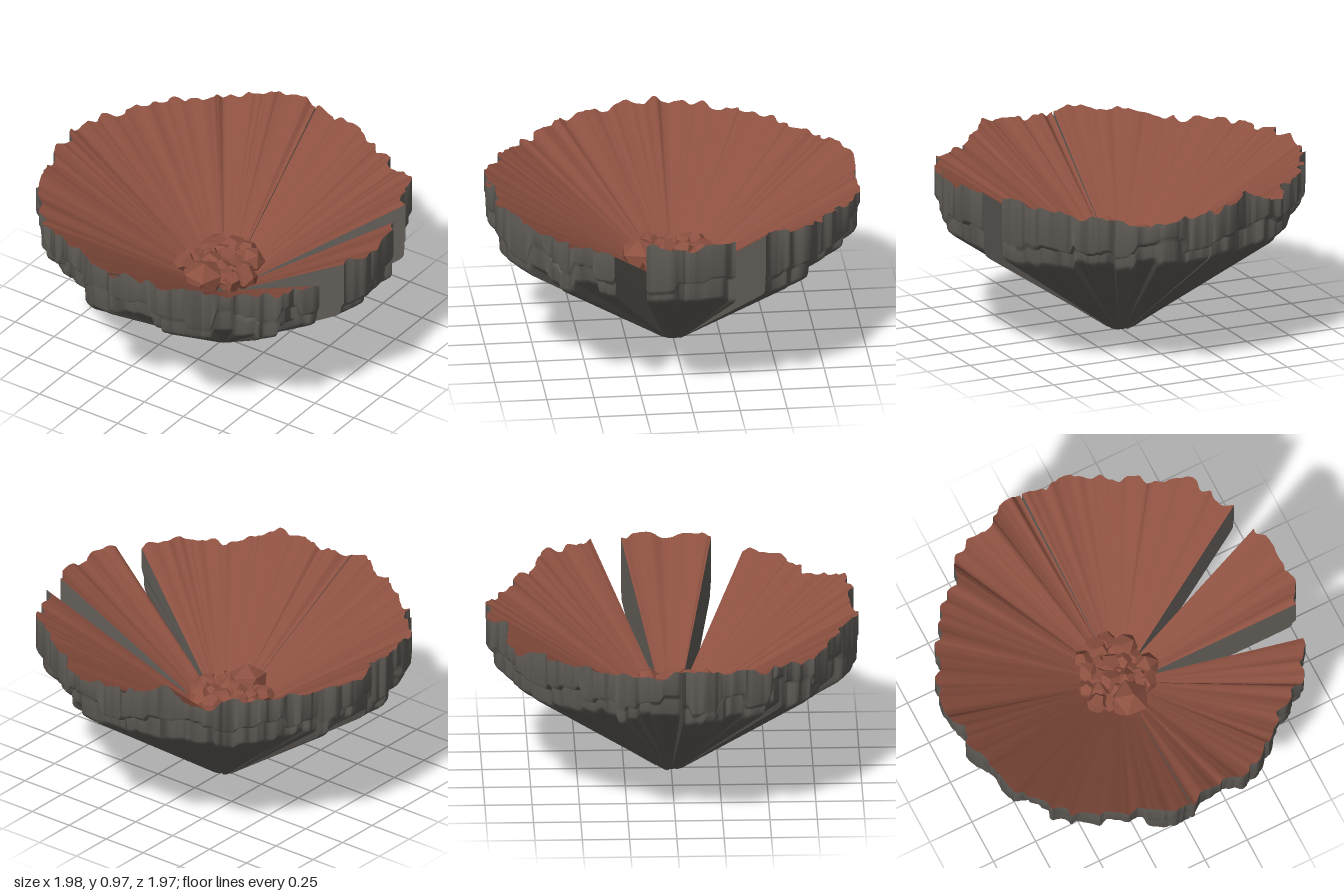
import * as THREE from 'three';
import { toCreasedNormals } from 'three/addons/utils/BufferGeometryUtils.js';

const DEG = Math.PI / 180;

// repeatable pseudo random value in 0..1 for an integer and a seed
function hash(n, seed) {
  const s = Math.sin(n * 127.1 + seed * 311.7) * 43758.5453;
  return s - Math.floor(s);
}

// ridged noise along the angle, -1..1; a sharp value gives flat steps
function noise(a, width, seed, sharp = 1) {
  const u = a / width, i = Math.floor(u);
  let f = THREE.MathUtils.clamp((u - i - 0.5) * sharp + 0.5, 0, 1);
  f = f * f * (3 - 2 * f);
  return THREE.MathUtils.lerp(hash(i, seed), hash(i + 1, seed), f) * 2 - 1;
}

// rim radius and rim height every ten degrees, from +x towards +z
const RIM = [
  0.98, 0.97, 0.965, 0.97, 0.975, 0.94, 0.93, 1.0, 0.955, 0.95, 1.0, 0.96,
  0.965, 0.96, 0.965, 1.0, 0.96, 0.96, 0.98, 0.995, 0.97, 0.97, 0.97, 0.93,
  0.99, 0.94, 0.995, 0.96, 0.98, 0.96, 0.93, 0.93, 0.98, 0.95, 0.96, 0.965,
];
const TOP = [
  0.93, 0.94, 0.9, 0.88, 0.89, 0.87, 0.89, 0.95, 0.91, 0.91, 0.93, 0.92,
  0.9, 0.85, 0.88, 0.9, 0.9, 0.92, 0.93, 0.92, 0.9, 0.9, 0.9, 0.9,
  0.88, 0.95, 0.93, 0.9, 0.88, 0.87, 0.88, 0.91, 0.95, 0.94, 0.94, 0.95,
];

function sample(table, a) {
  const u = a / 10 + 36, i = Math.floor(u);
  return THREE.MathUtils.lerp(table[i % 36], table[(i + 1) % 36], u - i);
}

// start and end angle of each wedge shaped petal
const PETALS = [
  [-13, 13], [24.6, 61], [61, 94], [94.5, 136], [136, 165], [165, 191.5],
  [191.5, 208.5], [208.5, 242], [242, 264.8], [265.4, 297], [297, 335.7],
];

// radial section of a petal at one angle, as [radius, height] pairs
function section(a, k) {
  const R = Math.min(1, sample(RIM, a) + 0.024 * noise(a, 3, 3) + 0.014 * noise(a, 5, 8, 4));
  const r0 = k === 7 ? 0.045 : 0.065 + 0.03 * hash(k, 6);
  const top = sample(TOP, a) + 0.015 * noise(a, 4, 11, 1.6) + 0.012 * noise(a, 2.2, 12);
  const calm = k === 0 ? 0.2 : 1;
  const low = 0.7 * (R - 0.06) - 0.04 + 0.035 * (noise(a, 7, 21, 5) + 1) * calm;
  const ledge = low + 0.11 + 0.05 * noise(a, 9, 31, 5);
  const inset = 0.03 + 0.026 * noise(a, 8, 32, 5);
  return [
    [r0, 0.295 + 0.64 * r0],
    [R, top],
    [R, ledge + 0.022],
    [R - 0.008, ledge + 0.006],
    [R - inset + 0.002, ledge - 0.01],
    [R - inset, ledge - 0.02],
    [R - inset - 0.003, low + 0.025],
    [R - inset - 0.012, low + 0.006],
    [R - inset - 0.035, low - 0.015],
    [r0, k === 7 ? 0 : 0.7 * r0 - 0.035],
  ];
}

function creased(positions) {
  const g = new THREE.BufferGeometry();
  g.setAttribute('position', new THREE.Float32BufferAttribute(positions, 3));
  return toCreasedNormals(g, 0.7);
}

// sweep the section through the petal's angles and close both sides
function makePetal([a0, a1], k, inner, outer) {
  const steps = Math.ceil((a1 - a0) / 0.5);
  const rows = [];
  for (let i = 0; i <= steps; i++) {
    const t = i / steps, a = a0 + (a1 - a0) * t;
    const side = k === 0 ? (t - 0.5) * 0.05 : 0;
    const c = Math.cos(a * DEG), s = Math.sin(a * DEG);
    rows.push(section(a, k).map(([r, y]) => [r * c - side * s, y, r * s + side * c]));
  }
  const face = [], shell = [];
  const n = rows[0].length;
  for (let i = 0; i < steps; i++) {
    for (let j = 0; j < n; j++) {
      const m = (j + 1) % n, A = rows[i], B = rows[i + 1];
      (j === 0 ? face : shell).push(...A[j], ...B[j], ...B[m], ...A[j], ...B[m], ...A[m]);
    }
  }
  const first = rows[0], last = rows[steps];
  for (let j = 1; j < n - 1; j++) {
    shell.push(...first[0], ...first[j], ...first[j + 1]);
    shell.push(...last[0], ...last[j + 1], ...last[j]);
  }
  const petal = new THREE.Group();
  petal.name = 'petal';
  const faceMesh = new THREE.Mesh(creased(face), inner);
  faceMesh.name = 'petalInnerFace';
  const shellMesh = new THREE.Mesh(creased(shell), outer);
  shellMesh.name = 'petalOuterShell';
  petal.add(faceMesh, shellMesh);
  return petal;
}

// faceted stone
function makeStone(x, y, z, size, seed, material) {
  const g = seed % 3 ? new THREE.DodecahedronGeometry(size) : new THREE.IcosahedronGeometry(size);
  const stone = new THREE.Mesh(g, material);
  stone.name = 'stone';
  stone.position.set(x, y, z);
  stone.rotation.set(hash(seed, 41) * 6, hash(seed, 42) * 6, hash(seed, 43) * 6);
  stone.scale.set(1, 0.8 + 0.3 * hash(seed, 44), 0.85 + 0.3 * hash(seed, 45));
  return stone;
}

export function createModel() {
  const inner = new THREE.MeshStandardMaterial({ color: 0x8c5040 });
  inner.name = 'rust brown';
  const outer = new THREE.MeshStandardMaterial({ color: 0x625e59 });
  outer.name = 'stone grey';

  const model = new THREE.Group();
  model.name = 'stoneFlower';

  // ring of petals
  PETALS.forEach((span, k) => model.add(makePetal(span, k, inner, outer)));

  // heap of stones in the middle
  const heap = new THREE.Group();
  heap.name = 'stoneHeap';
  for (let i = 0; i < 24; i++) {
    const d = 0.19 * Math.sqrt((i + 0.5) / 24), a = i * 2.4;
    const size = 0.052 + 0.026 * hash(i, 51);
    heap.add(makeStone(-0.03 + d * Math.cos(a), 0.44 + 0.03 * hash(i, 52), d * Math.sin(a), size, i, inner));
  }
  heap.add(makeStone(-0.02, 0.46, 0.17, 0.11, 60, inner));
  heap.add(makeStone(0.1, 0.45, 0.1, 0.065, 61, inner));
  heap.add(makeStone(-0.05, 0.45, -0.165, 0.08, 62, inner));
  model.add(heap);

  return model;
}
